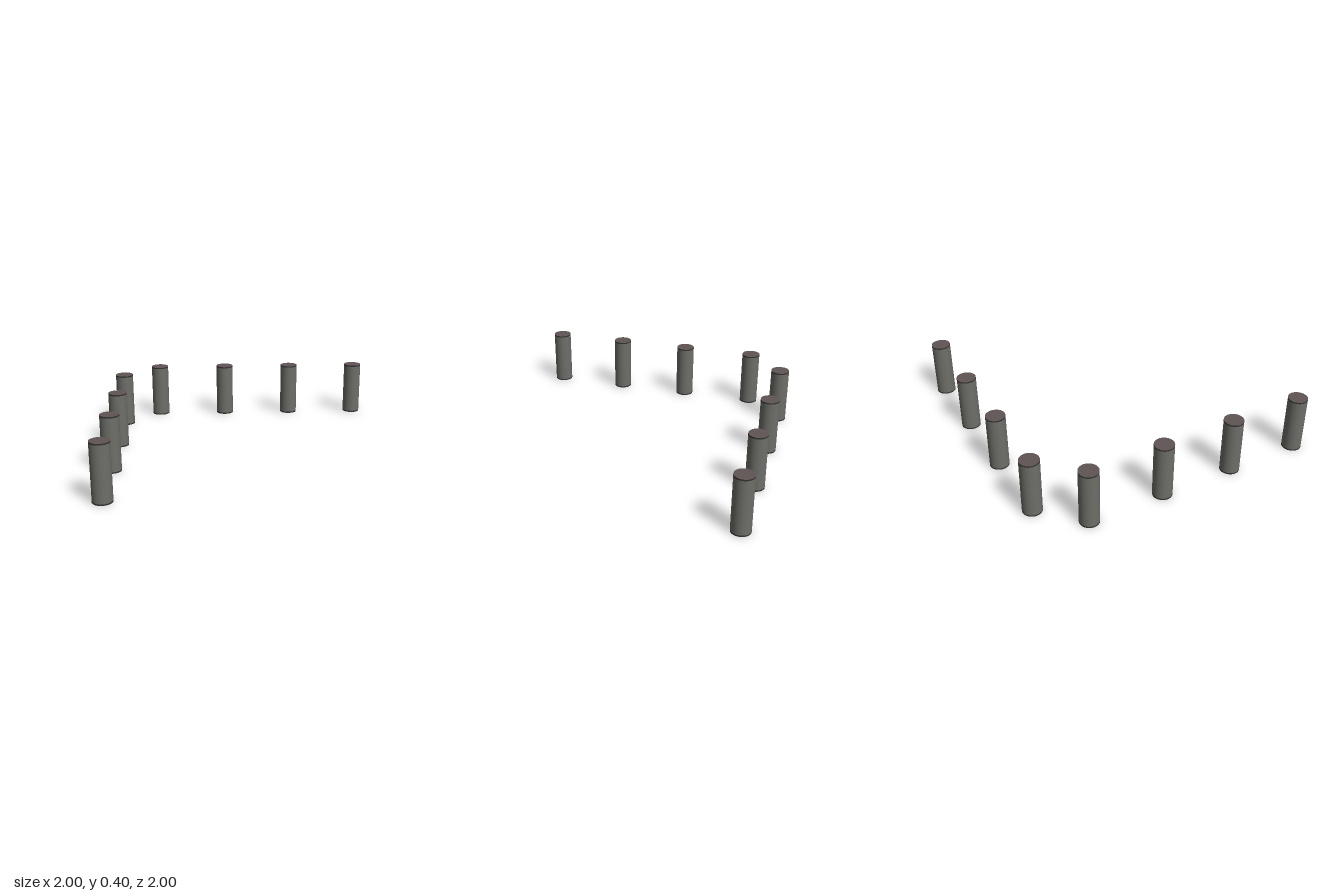
import * as THREE from 'three';

const RADIUS = 0.0667, HEIGHT = 0.4, RIM = 0.01, SIDES = 32;

export function createModel() {
  const model = new THREE.Group();
  model.name = 'postRow';

  const sideMaterial = new THREE.MeshStandardMaterial({ color: 0x6e6f69 });
  const rimMaterial = new THREE.MeshStandardMaterial({ color: 0x363432 });
  const capMaterial = new THREE.MeshStandardMaterial({ color: 0x5f5555 });

  // Shaft and end rims share one radius; the rims are thin dark bands
  const shaft = new THREE.CylinderGeometry(RADIUS, RADIUS, HEIGHT - 2 * RIM, SIDES, 1, true);
  const rim = new THREE.CylinderGeometry(RADIUS, RADIUS, RIM, SIDES, 1, true);
  const cap = new THREE.CircleGeometry(RADIUS, SIDES);

  function add(parent, name, geometry, material, y, tilt = 0) {
    const mesh = new THREE.Mesh(geometry, material);
    mesh.name = name;
    mesh.position.y = y;
    mesh.rotation.x = tilt;
    parent.add(mesh);
  }

  function addPost(name, x, z) {
    const post = new THREE.Group();
    post.name = name;
    add(post, 'shaft', shaft, sideMaterial, HEIGHT / 2);
    add(post, 'bottomRim', rim, rimMaterial, RIM / 2);
    add(post, 'topRim', rim, rimMaterial, HEIGHT - RIM / 2);
    add(post, 'bottomCap', cap, capMaterial, 0, Math.PI / 2);
    add(post, 'topCap', cap, capMaterial, HEIGHT, -Math.PI / 2);
    post.position.set(x, 0, z);
    model.add(post);
  }

  // Two rows of four meeting at an open corner
  const edge = -1 + RADIUS;
  for (let i = 0; i < 4; i++) {
    const along = -0.6667 + i * 0.5333;
    addPost(`backPost${i + 1}`, along, edge);
    addPost(`rightPost${i + 1}`, edge, along);
  }
  return model;
}
